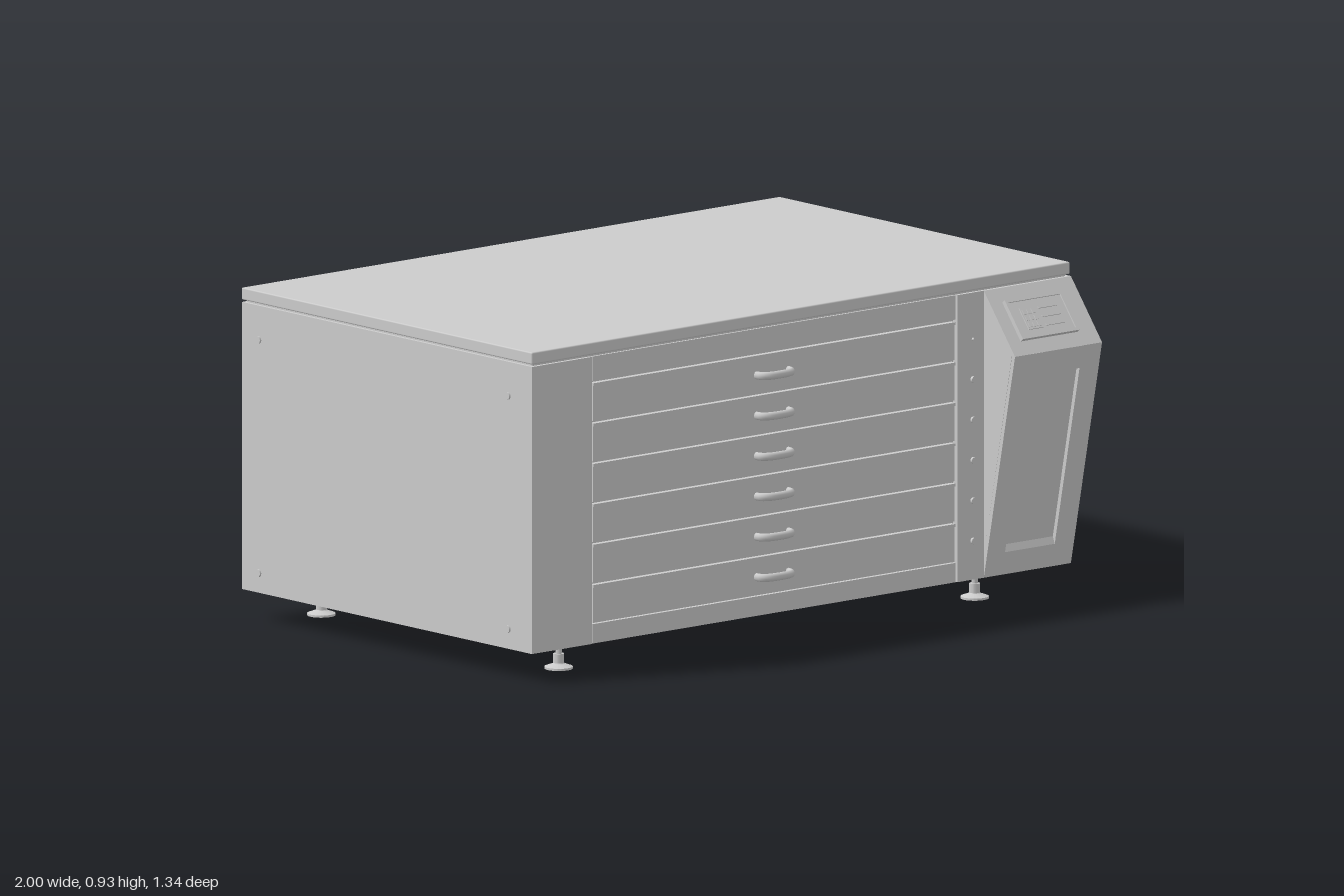
import * as THREE from 'three';
import { RoundedBoxGeometry } from 'three/addons/geometries/RoundedBoxGeometry.js';

const material = new THREE.MeshStandardMaterial({ color: 0xcccccc });

function add(parent, name, geometry, x = 0, y = 0, z = 0) {
  const mesh = new THREE.Mesh(geometry, material);
  mesh.name = name;
  mesh.position.set(x, y, z);
  parent.add(mesh);
  return mesh;
}

// Box given by its limits on each axis
function block(parent, name, [x0, x1], [y0, y1], [z0, z1]) {
  return add(parent, name, new THREE.BoxGeometry(x1 - x0, y1 - y0, z1 - z0),
    (x0 + x1) / 2, (y0 + y1) / 2, (z0 + z1) / 2);
}

// Disc whose axis runs along x or z
function disc(parent, name, axis, r, depth, x, y, z, sides = 24) {
  const g = new THREE.CylinderGeometry(r, r, depth, sides);
  if (axis === 'x') g.rotateZ(-Math.PI / 2); else g.rotateX(Math.PI / 2);
  return add(parent, name, g, x, y, z);
}

// (z, y) outline extruded along x between x0 and x1
function sideExtrude(parent, name, points, x0, x1) {
  const shape = new THREE.Shape(points.map(([z, y]) => new THREE.Vector2(z, y)));
  const g = new THREE.ExtrudeGeometry(shape, { depth: x1 - x0, bevelEnabled: false });
  g.rotateY(-Math.PI / 2);
  return add(parent, name, g, x1);
}

function rect(Type, x0, x1, y0, y1) {
  return new Type([[x0, y0], [x1, y0], [x1, y1], [x0, y1]].map(p => new THREE.Vector2(...p)));
}

function framePlate(parent, name, outer, inner, depth) {
  const shape = rect(THREE.Shape, ...outer);
  shape.holes.push(rect(THREE.Path, ...inner));
  return add(parent, name, new THREE.ExtrudeGeometry(shape, { depth, bevelEnabled: false }));
}

function cabinet(root) {
  const g = new THREE.Group();
  g.name = 'cabinet';
  root.add(g);
  const h = [0.085, 0.885];
  block(g, 'carcass', [-0.975, 0.93], h, [-0.662, 0.522]);
  block(g, 'lidSeam', [-0.985, 0.942], [0.88, 0.895], [-0.66, 0.53]);
  add(g, 'lid', new RoundedBoxGeometry(1.947, 0.034, 1.212, 2, 0.004), -0.0215, 0.908, -0.066);
  block(g, 'leftSidePanel', [-0.995, -0.97], h, [-0.67, 0.53]);
  block(g, 'leftPillar', [-0.995, -0.777], h, [0.5, 0.54]);
  block(g, 'lockPillar', [0.544, 0.64], h, [0.5, 0.54]);
  block(g, 'topRail', [-0.773, 0.54], [0.817, 0.885], [0.5, 0.537]);
  block(g, 'bottomRail', [-0.773, 0.54], [0.085, 0.139], [0.5, 0.537]);
  // Right side: rear panel, then a shallow fan bay, then the service door
  block(g, 'rearSidePanel', [0.92, 0.953], h, [-0.67, -0.29]);
  block(g, 'serviceDoor', [0.92, 0.953], h, [-0.1, 0.297]);
  for (const y of [0.14, 0.79]) for (const z of [-0.6, 0.44])
    disc(g, 'sideScrew', 'x', 0.011, 0.006, -0.997, y, z, 12);
  for (const z of [-0.31, -0.655]) disc(g, 'panelScrew', 'x', 0.005, 0.004, 0.954, 0.87, z, 10);
}

function drawers(root) {
  const path = new THREE.CatmullRomCurve3([
    [-0.058, 0, -0.008], [-0.054, 0, 0.018], [-0.036, 0, 0.03],
    [0.036, 0, 0.03], [0.054, 0, 0.018], [0.058, 0, -0.008],
  ].map(p => new THREE.Vector3(...p)), false, 'centripetal');
  const handle = new THREE.TubeGeometry(path, 32, 0.009, 10);
  handle.scale(1, 1.25, 1);
  for (let i = 0; i < 6; i++) {
    const y = 0.142 + i * 0.1125;
    const g = new THREE.Group();
    g.name = 'drawer';
    root.add(g);
    block(g, 'drawerFront', [-0.771, 0.538], [y, y + 0.106], [0.5, 0.536]);
    block(g, 'drawerLip', [-0.771, 0.538], [y + 0.098, y + 0.106], [0.53, 0.539]);
    add(g, 'drawerHandle', handle, -0.122, y + 0.051, 0.536);
    disc(g, 'drawerLock', 'z', i < 5 ? 0.009 : 0.004, 0.012, 0.6, y + 0.051, 0.541, 16);
  }
}

function console_(root) {
  const g = new THREE.Group();
  g.name = 'controlConsole';
  root.add(g);
  sideExtrude(g, 'consoleBody', [[0.3, 0.085], [0.528, 0.085], [0.657, 0.722],
    [0.67, 0.72], [0.54, 0.885], [0.3, 0.885]], 0.64, 0.955);

  // Lower sloping face with a recessed panel
  const lower = new THREE.Group();
  lower.name = 'lowerFace';
  lower.position.set(0.7975, 0.4025, 0.605);
  lower.rotation.x = Math.atan2(0.13, 0.635);
  g.add(lower);
  framePlate(lower, 'recessFrame', [-0.1575, 0.1575, -0.324, 0.324],
    [-0.0925, 0.0875, -0.258, 0.258], 0.012).position.z = -0.012;
  sideExtrude(lower, 'recessSill', [[-0.012, -0.258], [0, -0.258], [-0.012, -0.24]], -0.0925, 0.0875);

  // Upper sloping face with the display
  const upper = new THREE.Group();
  upper.name = 'displayUnit';
  upper.position.set(0.786, 0.802, 0.605);
  upper.rotation.x = -Math.atan2(0.13, 0.165);
  g.add(upper);
  framePlate(upper, 'displayBezel', [-0.103, 0.103, -0.062, 0.062], [-0.094, 0.094, -0.053, 0.053], 0.013);
  block(upper, 'displayPlate', [-0.095, 0.095], [-0.054, 0.054], [-0.002, 0.009]);
  block(upper, 'screen', [-0.066, -0.012], [-0.036, 0.032], [0.008, 0.012]);
  for (let r = 0; r < 3; r++) {
    for (let c = 0; c < 3; c++)
      block(upper, 'key', [-0.061 + c * 0.016, -0.05 + c * 0.016],
        [-0.03 + r * 0.02, -0.016 + r * 0.02], [0.011, 0.014]);
    block(upper, 'indicatorBar', [0, 0.066], [-0.032 + r * 0.027, -0.026 + r * 0.027], [0.008, 0.012]);
  }
}

function sideFittings(root) {
  // Rotary main switch
  const sw = new THREE.Group();
  sw.name = 'mainSwitch';
  sw.position.set(0.953, 0.705, 0.235);
  root.add(sw);
  add(sw, 'switchPlate', new RoundedBoxGeometry(0.02, 0.074, 0.074, 3, 0.009), 0.009);
  disc(sw, 'switchDial', 'x', 0.034, 0.018, 0.024, 0, 0, 32);
  add(sw, 'switchGrip', new RoundedBoxGeometry(0.026, 0.062, 0.016, 2, 0.005), 0.034);

  // Door lock
  disc(root, 'lockCollar', 'x', 0.021, 0.01, 0.957, 0.485, 0.25);
  disc(root, 'lockCore', 'x', 0.014, 0.016, 0.957, 0.485, 0.25);

  // Socket panel
  const sock = new THREE.Group();
  sock.name = 'socketPanel';
  sock.position.set(0.955, 0.182, 0.406);
  sock.rotation.y = Math.PI / 2;
  root.add(sock);
  framePlate(sock, 'socketFrame', [-0.045, 0.045, -0.062, 0.062], [-0.034, 0.034, -0.051, 0.051], 0.018);
  block(sock, 'socketBase', [-0.035, 0.035], [-0.052, 0.052], [-0.002, 0.01]);
  for (const x of [-0.017, 0.017]) for (const y of [-0.031, 0.003, 0.034])
    block(sock, 'socketModule', [x - 0.013, x + 0.013], [y - 0.012, y + 0.012], [0.009, 0.015]);

  // Fan grille in the bay
  const fan = new THREE.Group();
  fan.name = 'fanGrille';
  fan.position.set(0.931, 0.73, -0.2);
  fan.rotation.y = Math.PI / 2;
  root.add(fan);
  block(fan, 'fanPlate', [-0.052, 0.052], [-0.053, 0.05], [-0.002, 0.005]);
  block(fan, 'fanHood', [-0.055, 0.055], [0.046, 0.051], [0, 0.012]);
  for (const r of [0.02, 0.034, 0.046])
    add(fan, 'grilleRing', new THREE.TorusGeometry(r, 0.0025, 6, 36), 0, 0, 0.007);
  disc(fan, 'fanHub', 'z', 0.011, 0.008, 0, 0, 0.006);
  for (let i = 0; i < 4; i++)
    add(fan, 'grilleSpoke', new THREE.BoxGeometry(0.092, 0.003, 0.004), 0, 0, 0.007)
      .rotation.z = i * Math.PI / 4;
  for (const x of [-0.044, 0.044]) for (const y of [-0.044, 0.038])
    disc(fan, 'fanScrew', 'z', 0.004, 0.006, x, y, 0.006, 10);
}

function feet(root) {
  const profile = [[0, 0], [0.039, 0], [0.039, 0.006], [0.017, 0.014], [0.015, 0.016],
    [0.015, 0.042], [0.009, 0.042], [0.009, 0.09]].map(p => new THREE.Vector2(...p));
  const geometry = new THREE.LatheGeometry(profile, 24).toNonIndexed();
  geometry.computeVertexNormals();
  for (const x of [-0.79, 0.715]) for (const z of [-0.575, 0.415])
    add(root, 'levellingFoot', geometry, x, 0, z);
}

export function createModel() {
  const root = new THREE.Group();
  root.name = 'drawerCabinet';
  cabinet(root);
  drawers(root);
  console_(root);
  sideFittings(root);
  feet(root);
  return root;
}
